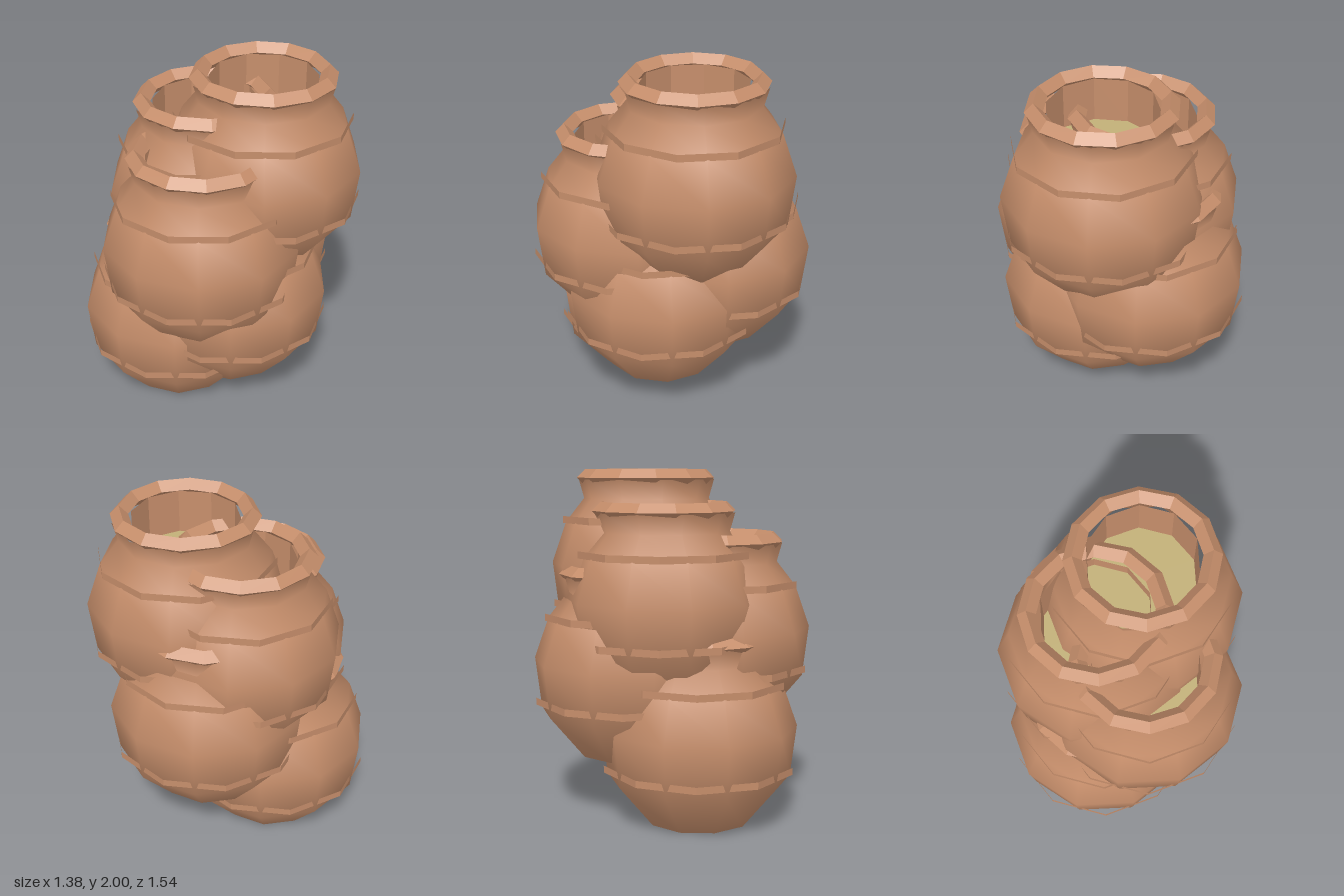
import * as THREE from 'three';

// Heap of six overlapping clay pots, each one a step higher than the last
export function createModel() {
  const clay = new THREE.MeshStandardMaterial({ color: 0xc68e6b });
  clay.name = 'clay';
  const grain = new THREE.MeshStandardMaterial({ color: 0xc2b078 });
  grain.name = 'grain';

  const SIDES = 10;
  const profile = [
    [0.315, 0], [0.53, 0.255], [0.565, 0.55], [0.48, 0.79], [0.37, 0.93], [0.4, 1.04],
  ].map(([r, y]) => new THREE.Vector2(r, y));
  const bodyGeo = new THREE.LatheGeometry(profile, SIDES, Math.PI / 2);

  const baseGeo = new THREE.CircleGeometry(0.315, SIDES).rotateX(Math.PI / 2);

  // Four-sided ring for the lip, with faceted normals
  const rimGeo = new THREE.TorusGeometry(0.36, 0.05, 4, 12).rotateX(Math.PI / 2).toNonIndexed();
  rimGeo.computeVertexNormals();

  // Open faceted tube
  const tube = (r, h) => {
    const g = new THREE.CylinderGeometry(r, r, h, SIDES, 1, true).toNonIndexed();
    g.computeVertexNormals();
    return g;
  };
  const upperBandGeo = tube(0.5, 0.04);
  const lowerBandGeo = tube(0.56, 0.04);
  // Mirrored so that the wall faces inward
  const wallGeo = new THREE.CylinderGeometry(0.3, 0.3, 0.25, SIDES, 1, true);
  wallGeo.index.array.reverse();
  const innerGeo = wallGeo.toNonIndexed();
  innerGeo.computeVertexNormals();

  const fillGeo = new THREE.CircleGeometry(0.3, SIDES, Math.PI / 2).rotateX(-Math.PI / 2);

  const makePot = () => {
    const pot = new THREE.Group();
    const add = (name, geo, y, mat = clay) => {
      const m = new THREE.Mesh(geo, mat);
      m.name = name;
      m.position.y = y;
      pot.add(m);
    };
    add('body', bodyGeo, 0);
    add('base', baseGeo, 0);
    add('rim', rimGeo, 1.05);
    add('upperBand', upperBandGeo, 0.81);
    add('lowerBand', lowerBandGeo, 0.325);
    add('innerWall', innerGeo, 0.925);
    add('filling', fillGeo, 0.8, grain);
    return pot;
  };

  const model = new THREE.Group();
  model.name = 'potStack';
  for (let i = 0; i < 6; i++) {
    const pot = makePot();
    pot.name = `pot${i + 1}`;
    pot.position.set(i % 2 ? 0.125 : -0.125, i * 0.18, 0.21 * (1 - (i % 3)));
    model.add(pot);
  }
  return model;
}
